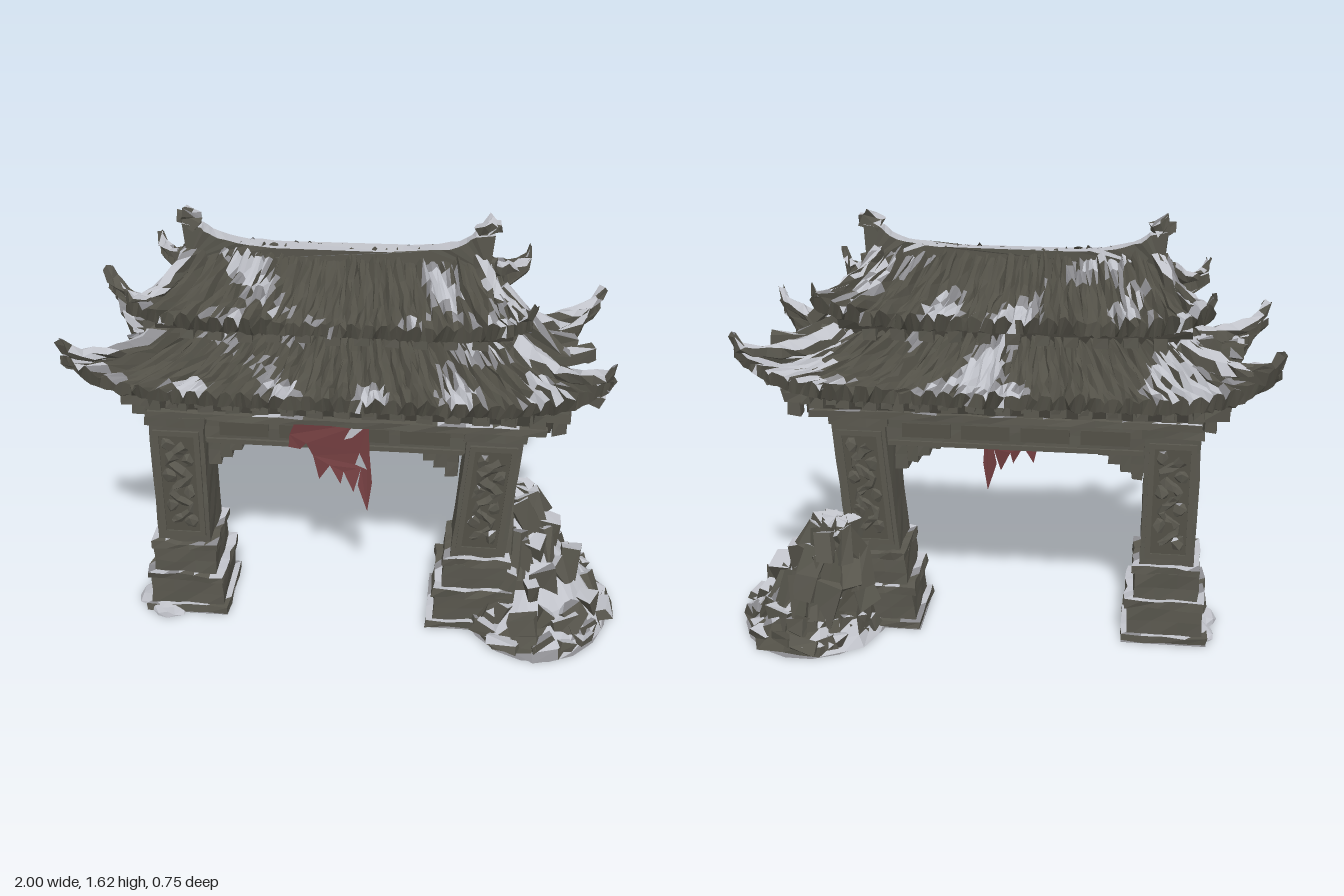
import * as THREE from 'three';

const paint = (color) => new THREE.MeshStandardMaterial({ color, side: THREE.DoubleSide });
const lerp = THREE.MathUtils.lerp;
const V = (x, y, z) => new THREE.Vector3(x, y, z);
const shapeOf = (pts) => new THREE.Shape(pts.map((q) => new THREE.Vector2(...q)));
const hash = (x, y, z) => {
  const s = Math.sin(Math.round(x * 500) * 12.9898 + Math.round(y * 500) * 78.233 + Math.round(z * 500) * 37.719) * 43758.5453;
  return s - Math.floor(s);
};

export function createModel() {
  const stone = paint(0x59574e), tile = paint(0x525047), dark = paint(0x413f38);
  const snow = paint(0xc0c2c9), frost = paint(0x8c8c90), cloth = paint(0x743f41);
  [stone, tile, dark, snow, frost, cloth].forEach((m, i) => {
    m.name = ['stone', 'roof tile', 'dark stone', 'snow', 'frost', 'red cloth'][i];
  });
  const root = new THREE.Group();
  root.name = 'ruinedGate';
  let seed = 7;
  const rnd = () => (seed = (seed * 16807) % 2147483647) / 2147483647;

  // Adds a faceted part; weathering moves vertices, snow and frost settle on upward faces in patches
  function add(name, geo, mat, { jit = 0, snowAt = 9, up = 0.5, parent = root } = {}) {
    const g = geo.index ? geo.toNonIndexed() : geo, p = g.attributes.position;
    for (let i = 0; i < p.count && jit; i++) {
      const x = p.getX(i), y = p.getY(i), z = p.getZ(i);
      p.setXYZ(i, x + (hash(x, y, z) - 0.5) * jit, Math.max(0, y + (hash(z, x, y) - 0.5) * jit), z + (hash(y, z, x) - 0.5) * jit);
    }
    g.deleteAttribute('normal');
    g.computeVertexNormals();
    g.clearGroups();
    for (let i = 0; i < p.count; i += 3) {
      const x = p.getX(i), y = p.getY(i), z = p.getZ(i);
      const n = 0.5 * Math.sin(9 * x + 1.3) * Math.cos(11 * z + 2 * y) + 0.5 * Math.sin(21 * x + 15 * y) * Math.sin(17 * z + 0.7)
        + (hash(x, y, z) - 0.5) * 0.25 + (x > 0.45 ? 0.15 : 0);
      const at = typeof snowAt === 'function' ? snowAt(x, y, z) : snowAt;
      const m = g.attributes.normal.getY(i) < up || n < at - 0.18 ? 0 : n > at ? 1 : 2;
      const last = g.groups[g.groups.length - 1];
      if (last && last.materialIndex === m) last.count += 3;
      else g.addGroup(i, 3, m);
    }
    const mesh = new THREE.Mesh(g, [mat, snow, frost]);
    mesh.name = name;
    parent.add(mesh);
    return mesh;
  }
  const box = (w, h, d, x, y, z, s = 0.1) => new THREE.BoxGeometry(w, h, d, Math.ceil(w / s), Math.ceil(h / s), Math.ceil(d / s)).translate(x, y, z);

  // Grid of points as a surface, with an optional gap in the middle of each row
  function grid(rows, gap = 0) {
    const pos = [], n = rows[0].length;
    for (let j = 0; j < rows.length - 1; j++) for (let i = 0; i < n - 1; i++) {
      if (Math.abs((2 * i + 1) / (n - 1) - 1) < gap) continue;
      const a = rows[j][i], b = rows[j + 1][i], c = rows[j][i + 1], d = rows[j + 1][i + 1];
      [a, b, c, c, b, d].forEach((q) => pos.push(q.x, q.y, q.z));
    }
    return new THREE.BufferGeometry().setAttribute('position', new THREE.Float32BufferAttribute(pos, 3));
  }
  function taperTube(curve, seg, r0, r1, sides) {
    const g = new THREE.TubeGeometry(curve, seg, 1, sides), p = g.attributes.position, v = V(0, 0, 0);
    for (let i = 0; i < p.count; i++) {
      const u = Math.floor(i / (sides + 1)) / seg, c = curve.getPointAt(u);
      v.fromBufferAttribute(p, i).sub(c).multiplyScalar(lerp(r0, r1, u)).add(c);
      p.setXYZ(i, v.x, v.y, v.z);
    }
    return g;
  }

  // Roof slope: swept-up eave, ragged tile ribs, rim and soffit; snow gathers at eaves and ends
  const slopeAt = (o, t, v) => {
    const k = Math.abs(t) ** o.p;
    return V(t * lerp(o.len[0], o.len[1], v), o.y[1] + (o.y[0] - o.y[1]) * (1 - v) ** 1.5 + o.lift * k * v ** 1.5, lerp(o.off[0], o.off[1], v) + o.flare * k * v);
  };
  function slope(name, o, angle, cx) {
    const rows = [], n = o.tiles * 4, at = (f) => Array.from({ length: n + 1 }, (_, i) => f(i / n * 2 - 1, i));
    const rag = Array.from({ length: o.tiles + 1 }, () => rnd());
    for (let j = 0; j <= 6; j++) rows.push(at((t, i) => {
      const p = slopeAt(o, t, j / 6), r = rag[Math.floor(i / 4)];
      p.y += [0, 0.02, 0.026, 0.018][i % 4] * (0.5 + r) + (j % 2) * 0.01 * r;
      if (j === 6) p.z += (r - 0.5) * 0.03;
      return p;
    }));
    rows.push(at((t) => slopeAt(o, t, 1).add(V(0, -0.035, -0.01))));
    rows.push(at((t) => V(t * o.len[0], o.soffit[1], o.soffit[0])));
    const snowAt = (x, y, z) => 0.62 - 0.5 * Math.abs(x + 0.05) ** 2 - (y < o.y[1] + 0.06 ? 0.25 : 0) - (z < 0 ? 0.1 : 0);
    add(name, grid(rows, o.gap).rotateY(angle).translate(cx, 0, 0), tile, { snowAt, jit: 0.012, up: 0.2 });
  }
  // Hip ridge ending in a pointed upturned horn
  function horns(name, o, cx, r) {
    for (const sx of [-1, 1]) for (const sz of [-1, 1]) {
      const pts = [0.02, 0.25, 0.5, 0.75, 0.92, 1].map((v) => slopeAt(o, 1, v).add(V(-0.018, 0.006, -0.014)));
      pts.push(pts[5].clone().add(V(0.014, 0.045, 0.012)));
      const curve = new THREE.CatmullRomCurve3(pts.map((q) => V(q.x * sx + cx, q.y, q.z * sz)));
      add(name, taperTube(curve, 9, r, r * 0.3, 6), stone, { snowAt: -0.3, jit: 0.02, up: 0.4 });
    }
  }

  // Lower roof: long slopes and broken end slopes
  const low = { len: [0.62, 0.93], off: [0.1, 0.28], flare: 0.035, y: [1.18, 1.02], lift: 0.16, p: 7, tiles: 32, soffit: [0.12, 0.98] };
  const lowEnd = { ...low, len: [0.1, 0.315], off: [0.62, 0.79], flare: 0.14, p: 2.2, tiles: 12, soffit: [0.6, 0.98], gap: 0.3 };
  [0, Math.PI].forEach((a) => slope('lowerRoofSlope', low, a, -0.05));
  [Math.PI / 2, -Math.PI / 2].forEach((a) => slope('lowerRoofEnd', lowEnd, a, -0.05));
  horns('lowerHipHorn', low, -0.05, 0.046);
  add('lowerRoofCore', box(1.54, 0.05, 0.22, -0.06, 1.015, 0), dark, { jit: 0.01, snowAt: 0.3 });

  // Upper roof: two slopes with gables
  const top = { len: [0.5, 0.68], off: [0.015, 0.21], flare: 0.05, y: [1.46, 1.27], lift: 0.085, p: 6, tiles: 26, soffit: [0.09, 1.23] };
  [0, Math.PI].forEach((a) => slope('upperRoofSlope', top, a, -0.07));
  horns('upperHipHorn', top, -0.07, 0.037);
  add('upperEaveSlab', box(1.24, 0.035, 0.3, -0.07, 1.235, 0), dark, { jit: 0.012, snowAt: 0.3 });
  add('paintedPanel', box(0.05, 0.008, 0.09, -0.662, 1.262, 0.01), cloth);
  add('middleWall', box(1.16, 0.24, 0.2, -0.07, 1.12, 0), dark, { jit: 0.008 });
  for (let i = 0; i < 11; i++) for (const s of [-1, 1])
    add('upperBracket', box(0.05, 0.05, 0.05, -0.58 + i * 0.102, 1.2, s * 0.115), stone, { jit: 0.008 });
  const gable = shapeOf([[-0.2, 1.25], [0.2, 1.25], [0.17, 1.3], [0.11, 1.345], [0.05, 1.42], [0, 1.47], [-0.05, 1.42], [-0.11, 1.345], [-0.17, 1.3]]);
  for (const s of [-1, 1]) {
    add('gableWall', new THREE.ExtrudeGeometry(gable, { depth: 0.04, bevelEnabled: false }).rotateY(Math.PI / 2).translate(-0.09 + s * 0.51, 0, 0), dark);
    add('gablePost', box(0.04, 0.42, 0.045, -0.07 + s * 0.53, 1.24, 0), stone, { jit: 0.015 });
    add('gableTie', box(0.03, 0.04, 0.26, -0.07 + s * 0.53, 1.29, 0), stone, { jit: 0.012, snowAt: 0 });
    for (const z of [-0.08, 0.08]) add('endStrut', box(0.1, 0.04, 0.05, -0.07 + s * 0.62, 1.14, z), stone, { jit: 0.015, snowAt: 0 });
    add('endPost', box(0.05, 0.17, 0.06, -0.06 + s * 0.68, 1.1, 0), stone, { jit: 0.015, snowAt: 0 });
  }

  // Main ridge with upswept ends, a snow cap and finials
  const ridge = new THREE.Shape();
  ridge.moveTo(-0.52, 1.42);
  ridge.lineTo(0.52, 1.42);
  ridge.lineTo(0.53, 1.56);
  ridge.lineTo(0.47, 1.55);
  ridge.quadraticCurveTo(0.42, 1.49, 0.22, 1.487);
  ridge.lineTo(-0.22, 1.487);
  ridge.quadraticCurveTo(-0.42, 1.49, -0.47, 1.55);
  ridge.lineTo(-0.53, 1.56);
  add('mainRidge', new THREE.ExtrudeGeometry(ridge, { depth: 0.06, bevelEnabled: false, curveSegments: 8 }).translate(-0.06, 0, -0.025), stone, { jit: 0.008, snowAt: -2, up: 0.3 });
  for (const s of [-1, 1]) {
    add('ridgeFinial', box(0.06, 0.05, 0.055, 0, 0, 0, 0.04).rotateZ(s * 0.5).translate(-0.06 + s * 0.505, 1.57, 0.005), stone, { jit: 0.02, snowAt: -0.4 });
    add('finialSnout', box(0.03, 0.03, 0.035, -0.06 + s * 0.535, 1.575, 0.005), stone, { jit: 0.014, snowAt: -0.4 });
  }

  // Frieze with dentils, stepped brackets and rafters under the eaves
  add('frieze', box(1.46, 0.13, 0.2, -0.03, 0.925, 0.03), dark, { jit: 0.008 });
  add('friezeTop', box(1.6, 0.04, 0.32, -0.04, 0.985, 0.01), stone, { jit: 0.012 });
  add('friezeLedge', box(1.44, 0.025, 0.25, -0.03, 0.87, 0.035), stone, { jit: 0.008, snowAt: 0.4 });
  for (let i = 0; i < 15; i++) for (const s of [-1, 1]) {
    const x = -0.72 + i * 0.098;
    add('dentil', box(0.055, 0.075, 0.05, x, 0.935, 0.03 + s * 0.115), stone, { jit: 0.008 });
    add('rafter', box(0.035, 0.035, 0.13, x, 0.985, s * 0.2), stone, { jit: 0.008 });
  }
  for (const x of [-0.78, 0.72]) for (const z of [-0.1, 0.14]) {
    add('cornerBracket', box(0.1, 0.06, 0.07, x, 0.95, z), stone, { jit: 0.015, snowAt: 0.2 });
    add('cornerDrop', box(0.045, 0.1, 0.045, x + 0.01, 0.92, z), stone, { jit: 0.012 });
  }

  // Beam, its panels and stepped corbels
  add('beam', box(0.98, 0.13, 0.15, -0.07, 0.805, 0.035), stone, { jit: 0.006 });
  for (const s of [-1, 1]) {
    for (const y of [0.75, 0.85]) add('beamMoulding', box(0.94, 0.018, 0.012, -0.07, y, 0.035 + s * 0.08), stone);
    for (let i = 0; i < 4; i++) add('beamPanel', box(0.18, 0.055, 0.008, -0.4 + i * 0.22, 0.8, 0.035 + s * 0.076), tile);
    for (let i = 0; i < 4; i++) add('corbel', box(0.045, 0.12 - i * 0.03, 0.1, -0.08 + s * (0.44 - i * 0.042), 0.69 + i * 0.015, 0.035), stone, { jit: 0.008 });
  }

  // Pillars with stepped plinths and carved panels
  function pillar(name, cx, lean) {
    const group = new THREE.Group(), zc = 0.04;
    group.name = name;
    root.add(group);
    const put = (n, g, m = stone, o = {}) => add(n, g.applyMatrix4(new THREE.Matrix4().makeShear(0, 0, lean, 0, 0, 0)).translate(cx, 0, zc), m, { parent: group, ...o });
    put('footing', box(0.32, 0.03, 0.31, 0, 0.018, 0), stone, { jit: 0.01, snowAt: -0.2 });
    put('plinth', box(0.28, 0.14, 0.27, 0, 0.085, 0), stone, { jit: 0.01 });
    put('plinthLedge', box(0.3, 0.03, 0.29, 0, 0.16, 0, 0.06), stone, { jit: 0.014, snowAt: -0.1 });
    put('pedestal', box(0.24, 0.12, 0.25, 0, 0.225, 0), stone, { jit: 0.01 });
    put('pedestalLedge', box(0.25, 0.03, 0.26, 0, 0.295, 0, 0.06), stone, { jit: 0.014, snowAt: 0 });
    put('shaft', box(0.2, 0.55, 0.21, 0, 0.58, 0), stone, { jit: 0.006 });
    put('capital', box(0.22, 0.04, 0.23, 0, 0.84, 0), stone, { jit: 0.01, snowAt: 0.1 });
    for (const s of [-1, 1]) {
      put('carvedPanel', box(0.13, 0.42, 0.006, 0, 0.57, s * 0.107), tile);
      for (const e of [-1, 1]) {
        put('panelSide', box(0.02, 0.46, 0.014, e * 0.075, 0.57, s * 0.108));
        put('panelRail', box(0.15, 0.02, 0.014, 0, 0.57 + e * 0.22, s * 0.108));
      }
      const coil = new THREE.CatmullRomCurve3(Array.from({ length: 6 }, (_, i) => V((i % 2 ? 1 : -1) * 0.035 * s, 0.4 + i * 0.068, s * 0.108)));
      put('carvedCoil', taperTube(coil, 18, 0.014, 0.024, 5), stone, { jit: 0.012 });
      for (let i = 0; i < 6; i++) put('carvedScroll', new THREE.IcosahedronGeometry(0.026, 0).scale(1, 1.3, 0.6).translate((i % 2 ? -0.035 : 0.035) * s, 0.41 + i * 0.066, s * 0.108), stone, { jit: 0.014, snowAt: 0.5 });
    }
    put('underside', box(0.32, 0.002, 0.31, 0, 0.001, 0), frost);
  }
  pillar('leftSidePillar', -0.645, 0);
  pillar('leaningPillar', 0.445, 0.08);

  // Torn cloth hanging from the beam, with a little snow caught in it
  const rag = shapeOf([[-0.2, 0.87], [0.06, 0.87], [0.055, 0.72], [0.062, 0.6], [0.05, 0.5], [0.025, 0.61], [0.02, 0.66], [-0.005, 0.57], [-0.03, 0.66], [-0.05, 0.61],
    [-0.08, 0.68], [-0.13, 0.62], [-0.14, 0.71], [-0.18, 0.76], [-0.2, 0.73], [-0.24, 0.75], [-0.23, 0.8]]);
  rag.holes.push(new THREE.Path([[0.03, 0.74], [0.042, 0.67], [0.015, 0.69]].map((q) => new THREE.Vector2(...q))));
  add('tornCloth', new THREE.ShapeGeometry(rag).translate(0, 0, 0.135), cloth, { jit: 0.022 });
  add('clothSnow', new THREE.ShapeGeometry(shapeOf([[-0.03, 0.8], [0.0, 0.81], [0.05, 0.86], [0.01, 0.865], [-0.01, 0.84]])).translate(0, 0, 0.15), snow);

  // Rubble heap: irregular rings [y, centre x, centre z, radius x, radius z]
  const rings = [[0.46, 0.6, -0.12, 0, 0], [0.45, 0.6, -0.12, 0.05, 0.06], [0.38, 0.61, -0.12, 0.08, 0.09], [0.27, 0.63, -0.07, 0.12, 0.16],
    [0.17, 0.66, -0.05, 0.18, 0.21], [0.08, 0.69, -0.02, 0.23, 0.29], [0.03, 0.7, -0.01, 0.275, 0.35], [0, 0.7, -0.01, 0.3, 0.38]];
  const ringPoint = (r, a, k = 1) => V(r[1] + Math.sin(a) * r[3] * k, r[0], r[2] + Math.cos(a) * r[4] * k);
  const sides = 22;
  const ringRow = (r) => Array.from({ length: sides + 1 }, (_, i) => ringPoint(r, i / sides * Math.PI * 2, 0.96 + 0.05 * Math.sin((i % sides) * 2.3 + r[0] * 9)));
  add('rubbleHeap', grid(rings.map(ringRow)), tile, { jit: 0.025, snowAt: -0.1, up: 0.5 });
  add('rubbleUnderside', new THREE.CircleGeometry(1, 18).rotateX(Math.PI / 2).scale(0.29, 1, 0.37).translate(0.7, 0.001, -0.01), frost);
  // Broken slabs leaning on the heap, large above and small below
  for (let lv = 2; lv < 7; lv++) for (let i = 0; i < 3 + lv * 3; i++) {
    const a = (i + rnd() * 0.7) / (3 + lv * 3) * Math.PI * 2, c = ringPoint(rings[lv], a, 0.82 + rnd() * 0.14);
    const h = [0, 0, 0.13, 0.17, 0.15, 0.08, 0.05][lv] * (0.6 + rnd() * 0.6);
    const g = box(0.045 + rnd() * 0.07, h, 0.04 + rnd() * 0.05, 0, 0, 0, 0.2).rotateX(0.15 - rnd() * 0.8).rotateZ(rnd() * 0.8 - 0.4).rotateY(a + rnd() * 0.6 - 0.3);
    add('rubbleSlab', g.translate(c.x, Math.max(c.y, 0.02), c.z), i % 3 ? stone : tile, { jit: 0.025, snowAt: -0.1, up: 0.6 });
  }

  // Fallen timbers at the damaged end: [from, to, thickness]
  for (const [a, b, w] of [[V(0.5, 1.38, 0.06), V(0.7, 1.17, 0.12), 0.045], [V(0.55, 1.08, 0.02), V(0.88, 0.95, 0.04), 0.045], [V(0.5, 1.18, -0.06), V(0.78, 1.1, -0.1), 0.05],
    [V(0.6, 1.1, 0.08), V(0.84, 1.12, 0.0), 0.05], [V(0.58, 0.3, 0.1), V(0.59, 0.58, 0.03), 0.03], [V(0.62, 1.04, -0.16), V(0.84, 1.08, -0.05), 0.04],
    [V(0.52, 1.22, 0.02), V(0.74, 1.12, 0.05), 0.05], [V(0.66, 1.06, -0.12), V(0.7, 1.1, 0.14), 0.045]]) {
    const across = V(b.z - a.z, 0, a.x - b.x).normalize(), ahead = b.clone().sub(a).normalize();
    const basis = new THREE.Matrix4().makeBasis(across, ahead.clone().cross(across), ahead).setPosition(a.clone().lerp(b, 0.5));
    add('fallenTimber', box(w, w, a.distanceTo(b), 0, 0, 0).applyMatrix4(basis), stone, { jit: 0.014, snowAt: 0.05 });
  }

  // Snow drifts around the left base
  for (const [x, z, r] of [[-0.77, 0.1, 0.08], [-0.77, -0.02, 0.07], [-0.72, 0.17, 0.07]])
    add('snowDrift', new THREE.IcosahedronGeometry(r, 1).scale(1, 0.6, 1).translate(x, 0, z), snow, { jit: 0.015 });
  return root;
}
